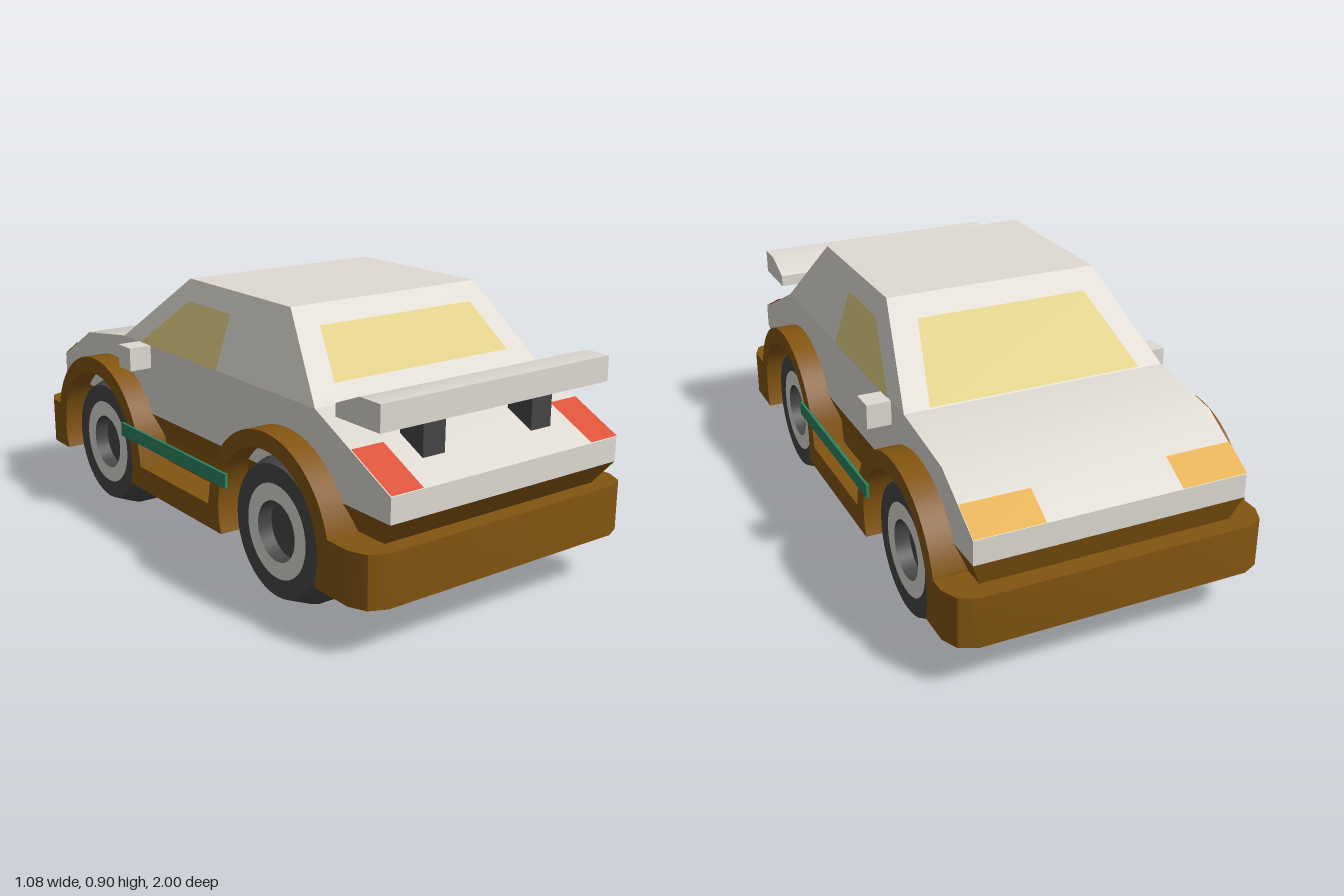
import * as THREE from 'three';
import { toCreasedNormals } from 'three/addons/utils/BufferGeometryUtils.js';

const mat = (name, color, extra = {}) => new THREE.MeshStandardMaterial({ name, color, ...extra });

export function createModel() {
  const car = new THREE.Group();
  car.name = 'car';
  const white = mat('white paint', 0xdedad2);
  const brown = mat('brown trim', 0x835510);
  const dark = mat('dark rubber', 0x464646);
  const green = mat('green stripe', 0x2f8463);
  const ds = { side: THREE.DoubleSide };
  const glass = mat('yellow glass', 0xdccb80, ds);
  const orange = mat('orange lamp', 0xe2ac46, ds);
  const red = mat('red lamp', 0xdc5238, ds);

  const add = (name, geo, material, parent = car) => {
    const m = new THREE.Mesh(geo, material);
    m.name = name;
    parent.add(m);
    return m;
  };
  const box = (name, x0, x1, y0, y1, z0, z1, material) => {
    const g = new THREE.BoxGeometry(x1 - x0, y1 - y0, z1 - z0);
    g.translate((x0 + x1) / 2, (y0 + y1) / 2, (z0 + z1) / 2);
    return add(name, g, material);
  };
  // side profile in (z, y) extruded from x0 to x1
  const sideExtrude = (shape, x0, x1) => {
    const g = new THREE.ExtrudeGeometry(shape, { depth: x1 - x0, bevelEnabled: false, curveSegments: 28 });
    g.rotateY(-Math.PI / 2);
    g.translate(x1, 0, 0);
    return toCreasedNormals(g, 0.5);
  };
  const poly = (pts) => new THREE.Shape(pts.map(([a, b]) => new THREE.Vector2(a, b)));
  // box whose bottom and top rectangles differ: [halfWidth, zBack, zFront]
  const frustum = (y0, low, y1, high) => {
    const g = new THREE.BoxGeometry(2, 1, 1);
    const p = g.attributes.position;
    for (let i = 0; i < p.count; i++) {
      const [w, zb, zf] = p.getY(i) > 0 ? high : low;
      p.setXYZ(i, Math.sign(p.getX(i)) * w, p.getY(i) > 0 ? y1 : y0, p.getZ(i) > 0 ? zf : zb);
    }
    g.computeVertexNormals();
    return g;
  };
  // flat convex panel lifted slightly off the bodywork
  const panel = (name, pts, lift, material) => {
    const g = new THREE.BufferGeometry();
    const pos = [];
    const dir = new THREE.Vector3(...lift).normalize().multiplyScalar(0.004);
    const v = pts.map((p) => new THREE.Vector3(...p).add(dir));
    const n = v[1].clone().sub(v[0]).cross(v[2].clone().sub(v[0]));
    if (n.dot(dir) < 0) v.reverse();
    for (let i = 1; i < v.length - 1; i++) {
      for (const q of [v[0], v[i], v[i + 1]]) pos.push(q.x, q.y, q.z);
    }
    g.setAttribute('position', new THREE.Float32BufferAttribute(pos, 3));
    g.computeVertexNormals();
    return add(name, g, material);
  };

  // upper bodywork and cabin
  const bodyShape = poly([[-0.96, 0.41], [1, 0.41], [1, 0.49], [0.66, 0.655],
    [-0.47, 0.655], [-0.75, 0.615], [-0.96, 0.49]]);
  add('body', sideExtrude(bodyShape, -0.45, 0.45), white);
  add('cabin', frustum(0.655, [0.45, -0.47, 0.66], 0.9, [0.37, -0.14, 0.43]), white);

  // tapered waist and solid floor
  add('waist', frustum(0.33, [0.42, -0.935, 0.94], 0.41, [0.45, -0.96, 1]), brown);
  box('floor', -0.42, 0.42, 0.165, 0.33, -0.9, 0.9, brown);

  // bumpers with clipped corners
  const bumperShape = poly([[-0.53, 0.83], [0.53, 0.83], [0.53, 0.92], [0.505, 0.975],
    [0.45, 1], [-0.45, 1], [-0.505, 0.975], [-0.53, 0.92]]);
  for (const end of [0, 1]) {
    const g = new THREE.ExtrudeGeometry(bumperShape, { depth: 0.165, bevelEnabled: false });
    g.rotateX(Math.PI / 2);
    g.translate(0, 0.33, 0);
    g.rotateY(end * Math.PI);
    add(end ? 'noseBumper' : 'tailBumper', toCreasedNormals(g, 0.7), brown);
  }

  // side skirts with wheel arches and a notch between them
  const axles = [-0.56, 0.52];
  const yc = 0.25, rOut = 0.315, rIn = 0.26;
  const aOut = Math.asin(0.08 / rOut), aIn = Math.asin(0.085 / rIn);
  const skirt = new THREE.Shape();
  skirt.moveTo(-0.85, 0.165);
  skirt.lineTo(-0.85, 0.25);
  skirt.lineTo(-0.865, 0.33);
  skirt.absarc(axles[0], yc, rOut, Math.PI - aOut, aOut, true);
  skirt.lineTo(-0.24, 0.245);
  skirt.lineTo(0.2, 0.245);
  skirt.absarc(axles[1], yc, rOut, Math.PI - aOut, aOut, true);
  skirt.lineTo(0.85, 0.33);
  skirt.lineTo(0.85, 0.165);
  skirt.absarc(axles[1], yc, rIn, -aIn, Math.PI + aIn, false);
  skirt.absarc(axles[0], yc, rIn, -aIn, Math.PI + aIn, false);
  skirt.closePath();

  // wheel profiles turned around the axle
  const turned = (pts) => {
    const g = new THREE.LatheGeometry(pts.map(([r, x]) => new THREE.Vector2(r, x)), 40);
    g.rotateZ(-Math.PI / 2);
    return toCreasedNormals(g, 0.35);
  };
  const tyreGeo = turned([[0, 0.33], [0.243, 0.33], [0.243, 0.41], [0.21, 0.49], [0.15, 0.49]]);
  const rimGeo = turned([[0.15, 0.49], [0.096, 0.49]]);
  const hubGeo = turned([[0.096, 0.49], [0.096, 0.44], [0, 0.44]]);

  for (const s of [1, -1]) {
    const side = s > 0 ? 'left' : 'right';
    const span = (a, b) => (s > 0 ? [a, b] : [-b, -a]);
    add(side + 'Skirt', sideExtrude(skirt, ...span(0.42, 0.53)), brown);
    box(side + 'Stripe', ...span(0.528, 0.538), 0.33, 0.378, -0.355, 0.315, green);
    box(side + 'Mirror', ...span(0.44, 0.53), 0.575, 0.655, -0.365, -0.285, white);
    box(side + 'SpoilerStrut', ...span(0.173, 0.256), 0.5, 0.66, 0.805, 0.905, dark);

    for (const z of axles) {
      const wheel = new THREE.Group();
      wheel.name = side + (z > 0 ? 'TailWheel' : 'NoseWheel');
      add('tyre', tyreGeo, dark, wheel);
      add('rim', rimGeo, white, wheel);
      add('hub', hubGeo, dark, wheel);
      wheel.position.set(0, 0.245, z);
      wheel.rotation.y = s > 0 ? 0 : Math.PI;
      car.add(wheel);
    }

    // side window on the sloping cabin wall
    const wx = (y) => s * (0.45 - (0.08 * (y - 0.655)) / 0.245);
    panel(side + 'Window', [[0.14, 0.655], [0.14, 0.83], [-0.11, 0.83], [-0.345, 0.655]]
      .map(([z, y]) => [wx(y), y, z]), [s * 0.245, 0.08, 0], glass);

    // lamps on the sloping ends
    panel(side + 'Headlamp', [[s * 0.225, 0.49, -0.96], [s * 0.45, 0.49, -0.96],
      [s * 0.45, 0.5495, -0.86], [s * 0.225, 0.5495, -0.86]], [0, 0.21, -0.125], orange);
    panel(side + 'TailLamp', [[s * 0.335, 0.49, 1], [s * 0.45, 0.49, 1],
      [s * 0.45, 0.575, 0.825], [s * 0.335, 0.575, 0.825]], [0, 0.34, 0.165], red);
  }

  // end windows
  panel('windscreen', [[-0.365, 0.657, -0.467], [0.365, 0.657, -0.467],
    [0.297, 0.844, -0.215], [-0.297, 0.844, -0.215]], [0, 0.33, -0.245], glass);
  panel('rearWindow', [[-0.348, 0.703, 0.615], [0.348, 0.703, 0.615],
    [0.303, 0.843, 0.4835], [-0.303, 0.843, 0.4835]], [0, 0.23, 0.245], glass);

  // spoiler blade
  const blade = poly([[0.755, 0.655], [0.95, 0.655], [0.95, 0.737], [0.86, 0.737], [0.755, 0.695]]);
  add('spoiler', sideExtrude(blade, -0.45, 0.45), white);

  return car;
}
